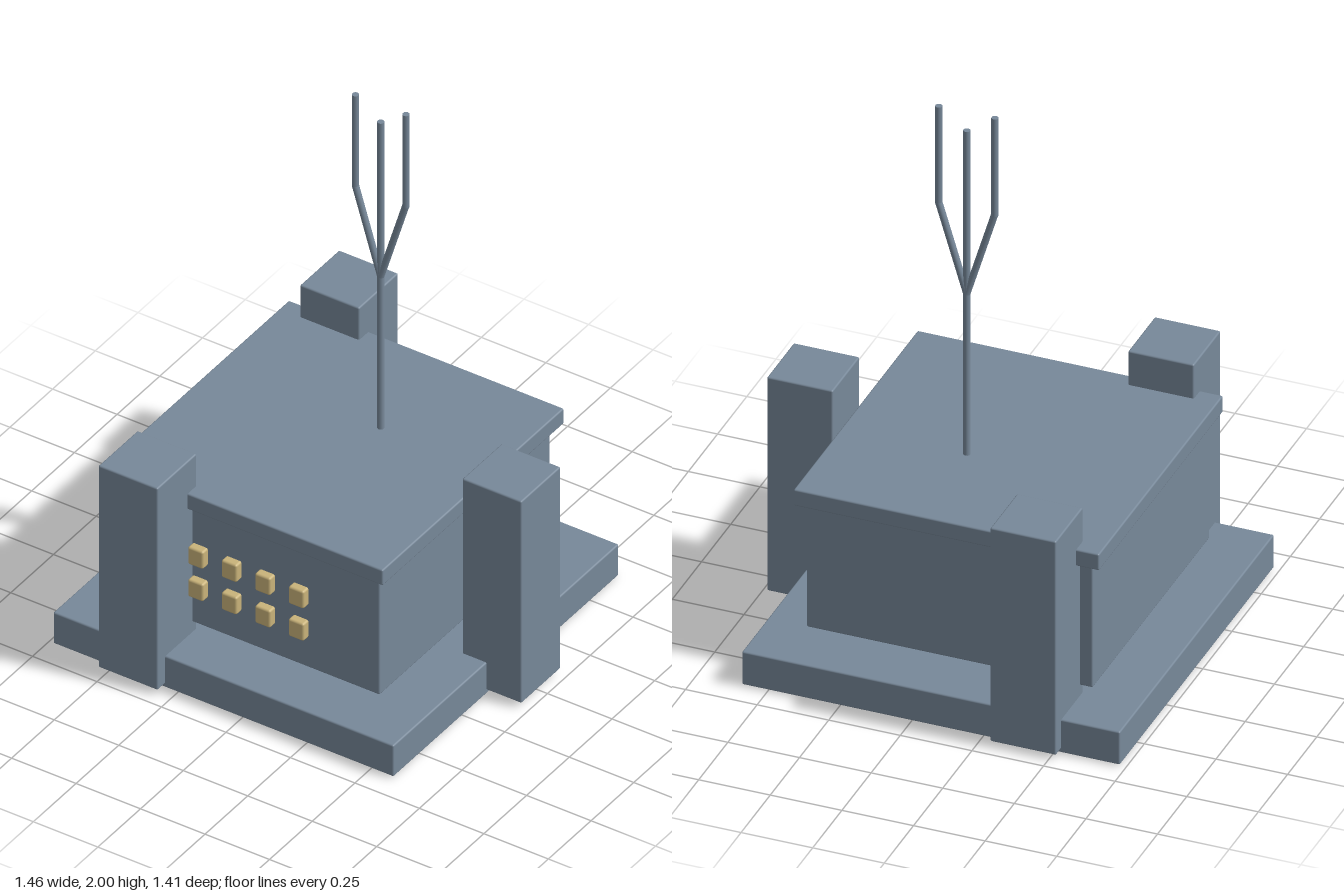
import * as THREE from 'three';
import { RoundedBoxGeometry } from 'three/addons/geometries/RoundedBoxGeometry.js';

export function createModel() {
  const model = new THREE.Group();
  model.name = 'bunker';
  const steel = new THREE.MeshStandardMaterial({ name: 'slateGrey', color: 0x778899 });
  const brass = new THREE.MeshStandardMaterial({ name: 'paleGold', color: 0xc9b37a });

  const add = (name, geometry, material, parent = model) => {
    const mesh = new THREE.Mesh(geometry, material);
    mesh.name = name;
    parent.add(mesh);
    return mesh;
  };

  // Softly bevelled box given by its extents
  const block = (name, [x0, x1], [y0, y1], [z0, z1], material, bevel = 0.006, parent = model) => {
    const mesh = add(name, new RoundedBoxGeometry(x1 - x0, y1 - y0, z1 - z0, 2, bevel), material, parent);
    mesh.position.set((x0 + x1) / 2, (y0 + y1) / 2, (z0 + z1) / 2);
    return mesh;
  };

  // Foundation slab, building and roof
  block('baseSlab', [-0.73, 0.59], [0.005, 0.13], [-0.66, 0.66], steel);
  block('building', [-0.57, 0.43], [0.17, 0.65], [-0.5, 0.5], steel);
  block('roof', [-0.605, 0.462], [0.64, 0.702], [-0.532, 0.53], steel);

  // Pillars, each on an eight-sided foot
  for (const [x, z] of [[-0.41, 0.59], [-0.41, -0.59], [0.61, 0]]) {
    const pillar = new THREE.Group();
    pillar.name = 'pillar';
    model.add(pillar);
    block('pillarPost', [x - 0.115, x + 0.115], [0.02, 0.83], [z - 0.115, z + 0.115], steel, 0.006, pillar);
    add('pillarFoot', new THREE.CylinderGeometry(0.08, 0.08, 0.024, 8), brass, pillar).position.set(x, 0.012, z);
  }

  // Two rows of raised windows on the front wall
  for (const y of [0.325, 0.455]) {
    for (let i = 0; i < 4; i++) {
      const x = -0.265 + i * 0.13;
      block('window', [x - 0.03, x + 0.03], [y - 0.035, y + 0.035], [0.495, 0.53], brass, 0.008);
    }
  }

  // Three-pronged mast
  const mast = new THREE.Group();
  mast.name = 'antenna';
  mast.position.set(0.026, 0, -0.117);
  model.add(mast);
  const up = new THREE.Vector3(0, 1, 0);
  const rod = (name, x0, y0, x1, y1) => {
    const a = new THREE.Vector3(x0, y0, 0);
    const b = new THREE.Vector3(x1, y1, 0);
    const mesh = add(name, new THREE.CylinderGeometry(0.012, 0.012, a.distanceTo(b), 12), steel, mast);
    mesh.position.copy(a).add(b).multiplyScalar(0.5);
    mesh.quaternion.setFromUnitVectors(up, b.sub(a).normalize());
  };
  rod('mastPole', 0, 0.69, 0, 1.93);
  for (const side of [-1, 1]) {
    rod('mastBranch', 0, 1.31, side * 0.098, 1.635);
    rod('mastProng', side * 0.098, 1.63, side * 0.098, 2);
  }

  return model;
}
